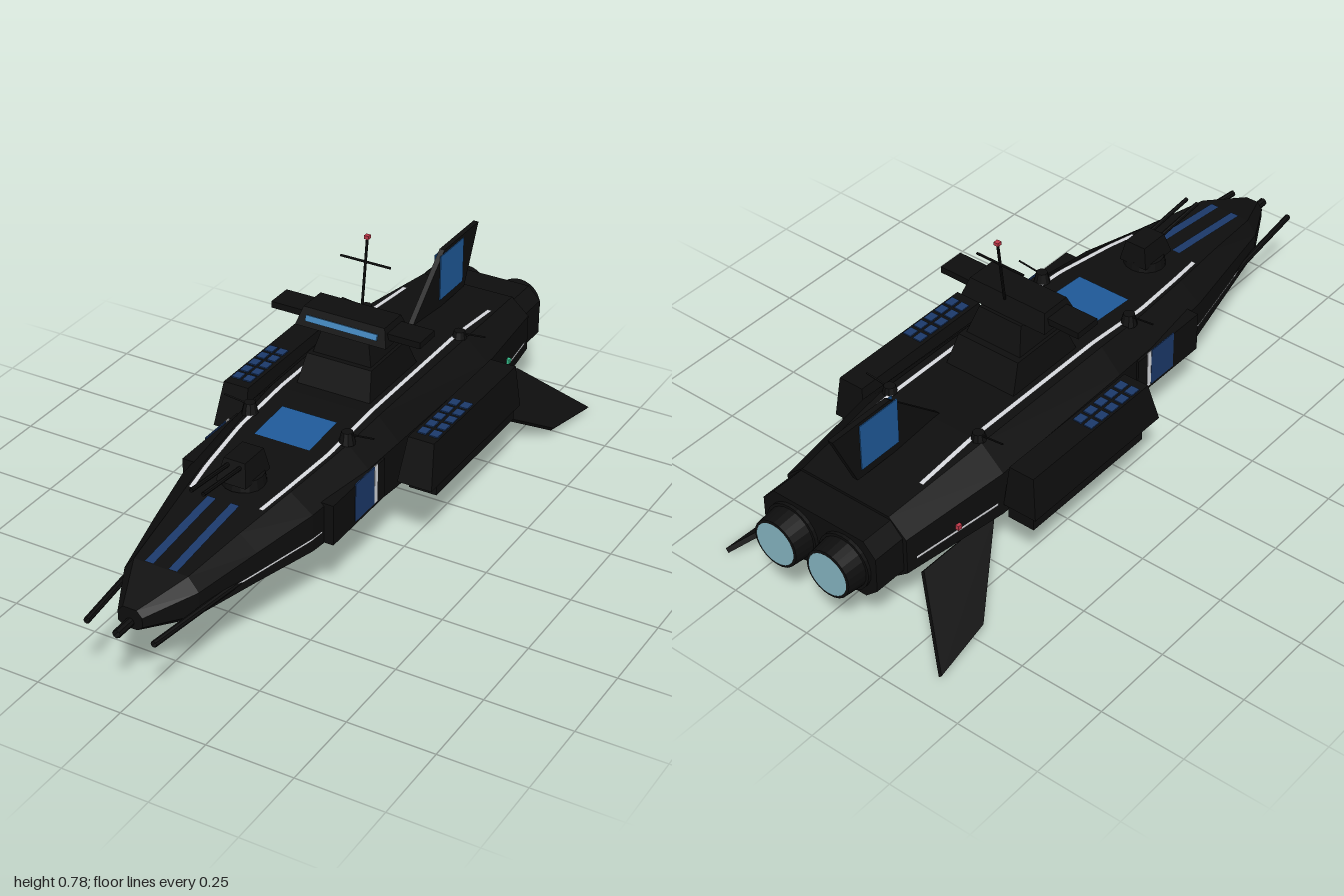
import * as THREE from 'three';
import { ConvexGeometry } from 'three/addons/geometries/ConvexGeometry.js';

const paint = (color) => new THREE.MeshStandardMaterial({ color, flatShading: true, side: THREE.DoubleSide });
const BLACK = paint(0x0e0e0e), BLUE = paint(0x1f5a9a), NAVY = paint(0x1c3a6b), WINDOW = paint(0x3f82b8);
const WHITE = paint(0xd8dade), GLOW = paint(0x86b6c2), RED = paint(0xc0394a), GREEN = paint(0x35c08c);

// Hull sections: z, half widths (deck, side, keel), heights (keel, lower, upper, deck)
const SECTIONS = [
  [0.94, 0.02, 0.036, 0.02, 0.222, 0.235, 0.262, 0.28],
  [0.8, 0.08, 0.11, 0.075, 0.187, 0.215, 0.28, 0.318],
  [0.6, 0.105, 0.155, 0.11, 0.175, 0.21, 0.297, 0.34],
  [0.4, 0.133, 0.198, 0.145, 0.165, 0.2, 0.31, 0.36],
  [0.15, 0.158, 0.22, 0.172, 0.153, 0.195, 0.32, 0.378],
  [0, 0.165, 0.228, 0.18, 0.148, 0.19, 0.325, 0.389],
  [-0.5, 0.168, 0.238, 0.18, 0.142, 0.19, 0.325, 0.389],
  [-0.83, 0.145, 0.2, 0.15, 0.16, 0.2, 0.31, 0.358],
];

// Interpolated hull section at any z
function sectionAt(z) {
  let i = 0;
  while (i < SECTIONS.length - 2 && z < SECTIONS[i + 1][0]) i++;
  const a = SECTIONS[i], b = SECTIONS[i + 1], t = (z - a[0]) / (b[0] - a[0]);
  return a.map((v, k) => v + (b[k] - v) * t);
}
const deckY = (z) => sectionAt(z)[7] + 0.003;
const sideX = (z) => sectionAt(z)[2] + 0.002;

function hullGeometry() {
  const pos = [], idx = [], n = 8;
  for (const [z, d, s, k, y0, y1, y2, y3] of SECTIONS)
    for (const [x, y] of [[d, y3], [-d, y3], [-s, y2], [-s, y1], [-k, y0], [k, y0], [s, y1], [s, y2]]) pos.push(x, y, z);
  for (let r = 0; r < SECTIONS.length - 1; r++)
    for (let j = 0; j < n; j++) {
      const a = r * n + j, b = r * n + (j + 1) % n;
      idx.push(a, b, a + n, b, b + n, a + n);
    }
  const last = (SECTIONS.length - 1) * n;
  for (let j = 1; j < n - 1; j++) idx.push(0, j, j + 1, last, last + j + 1, last + j);
  // Orient the loops so faces point outward
  for (let i = 0; i < (SECTIONS.length - 1) * n * 6; i += 3) [idx[i + 1], idx[i + 2]] = [idx[i + 2], idx[i + 1]];
  const g = new THREE.BufferGeometry();
  g.setAttribute('position', new THREE.Float32BufferAttribute(pos, 3));
  g.setIndex(idx.map((_, i) => idx[i - (i % 3) + [0, 2, 1][i % 3]]));
  const flat = g.toNonIndexed();
  flat.computeVertexNormals();
  return flat;
}

// Painted band following the hull: edges(z) gives its two edge points [x, y, x, y]
function bandGeometry(z0, z1, edges, steps = 20) {
  const pos = [], idx = [];
  for (let i = 0; i <= steps; i++) {
    const z = z0 + (z1 - z0) * i / steps, [ax, ay, bx, by] = edges(z);
    pos.push(ax, ay, z, bx, by, z);
    if (i) idx.push(2 * i - 2, 2 * i, 2 * i - 1, 2 * i - 1, 2 * i, 2 * i + 1);
  }
  const g = new THREE.BufferGeometry();
  g.setAttribute('position', new THREE.Float32BufferAttribute(pos, 3));
  g.setIndex(idx);
  g.computeVertexNormals();
  return g;
}

// Block from y0 to y1 whose bottom and top are rectangles [xMin, xMax, zMin, zMax]
function blockGeometry(y0, y1, bottom, top = bottom) {
  const g = new THREE.BoxGeometry(1, 1, 1), p = g.attributes.position;
  for (let i = 0; i < p.count; i++) {
    const up = p.getY(i) > 0, r = up ? top : bottom;
    p.setXYZ(i, r[p.getX(i) > 0 ? 1 : 0], up ? y1 : y0, r[p.getZ(i) > 0 ? 3 : 2]);
  }
  g.computeVertexNormals();
  return g;
}

// Flat plate through the corners with a thickness
function plateGeometry(corners, thickness) {
  const c = corners.map((q) => new THREE.Vector3(...q));
  const nrm = c[1].clone().sub(c[0]).cross(c[2].clone().sub(c[0])).setLength(thickness / 2);
  return new ConvexGeometry(c.flatMap((v) => [v.clone().add(nrm), v.clone().sub(nrm)]));
}

const rodGeometry = (a, b, r) =>
  new THREE.TubeGeometry(new THREE.LineCurve3(new THREE.Vector3(...a), new THREE.Vector3(...b)), 1, r, 8);

export function createModel() {
  const model = new THREE.Group();
  model.name = 'ship';
  const add = (name, geometry, material = BLACK) => {
    const m = new THREE.Mesh(geometry, material);
    m.name = name;
    model.add(m);
    return m;
  };
  const box = (name, x, y, z, w, h, d, material) => {
    const m = add(name, new THREE.BoxGeometry(w, h, d), material);
    m.position.set(x, y, z);
    return m;
  };
  const disc = (name, x, y, z, rTop, rBottom, h, sides = 16) => {
    const m = add(name, new THREE.CylinderGeometry(rTop, rBottom, h, sides));
    m.position.set(x, y, z);
    return m;
  };

  add('hull', hullGeometry());
  add('deckPanel', bandGeometry(0.08, 0.225, (z) => [-0.085, deckY(z), 0.085, deckY(z)]), BLUE);
  add('bowGun', rodGeometry([0, 0.24, 0.9], [0, 0.24, 1], 0.012));

  // Superstructure, bridge and mast
  add('lowerTower', blockGeometry(0.38, 0.47, [-0.115, 0.115, -0.31, -0.04], [-0.1, 0.1, -0.27, -0.075]));
  add('upperTower', blockGeometry(0.47, 0.545, [-0.09, 0.09, -0.25, -0.09], [-0.07, 0.07, -0.22, -0.11]));
  add('bridge', blockGeometry(0.545, 0.595, [-0.14, 0.14, -0.21, -0.08], [-0.125, 0.125, -0.19, -0.1]));
  box('bridgeWindow', 0, 0.569, -0.087, 0.22, 0.017, 0.008, WINDOW).rotation.x = -0.38;
  add('mast', rodGeometry([0, 0.59, -0.2], [0, 0.78, -0.225], 0.004));
  add('mastCrossbar', rodGeometry([-0.077, 0.71, -0.216], [0.077, 0.71, -0.216], 0.0035));
  box('mastLight', 0, 0.781, -0.225, 0.014, 0.01, 0.014, RED);

  // Tail fin
  add('tailFin', plateGeometry([[0, 0.375, -0.46], [0, 0.55, -0.66], [0, 0.55, -0.87], [0, 0.375, -0.79]], 0.016));

  // Foredeck turret
  disc('foredeckTurretBase', 0, 0.372, 0.41, 0.055, 0.06, 0.03);
  add('foredeckTurret', blockGeometry(0.38, 0.442, [-0.045, 0.045, 0.355, 0.475], [-0.032, 0.032, 0.365, 0.455]));

  // Belly turret
  add('bellyTurretBase', blockGeometry(0.122, 0.16, [-0.047, 0.047, 0, 0.11]));
  disc('bellyTurret', 0, 0.106, 0.055, 0.043, 0.038, 0.042, 12);

  // Engine block
  add('engineBlock', plateGeometry([[-0.15, 0.35, -0.85], [0.15, 0.35, -0.85], [0.188, 0.31, -0.85], [0.188, 0.205, -0.85],
    [0.15, 0.17, -0.85], [-0.15, 0.17, -0.85], [-0.188, 0.205, -0.85], [-0.188, 0.31, -0.85]], 0.16));

  for (const s of [1, -1]) {
    const span = (a, b, z0, z1) => [Math.min(s * a, s * b), Math.max(s * a, s * b), z0, z1];

    // Engines
    const nozzle = disc('engineNozzle', s * 0.088, 0.255, -0.955, 0.078, 0.07, 0.085, 24);
    nozzle.rotation.x = Math.PI / 2;
    const ring = disc('nozzleRing', s * 0.088, 0.255, -0.925, 0.083, 0.083, 0.03, 24);
    ring.rotation.x = Math.PI / 2;
    const glow = add('engineGlow', new THREE.CircleGeometry(0.063, 24), GLOW);
    glow.position.set(s * 0.088, 0.255, -0.9995);
    glow.rotation.y = Math.PI;

    // Bridge wings, lower fins and tail panels
    box('bridgeWing', s * 0.18, 0.569, -0.145, 0.1, 0.019, 0.08);
    add('lowerFin', plateGeometry([[s * 0.195, 0.16, -0.49], [s * 0.345, 0.026, -0.72],
      [s * 0.368, 0.007, -0.91], [s * 0.195, 0.16, -0.77]], 0.014));
    box('tailFinPanel', s * 0.009, 0.47, -0.705, 0.003, 0.14, 0.14, BLUE);

    // Side pods with launch cells
    add('podLower', blockGeometry(0.175, 0.225, span(0.245, 0.328, -0.49, -0.03)));
    add('podUpper', blockGeometry(0.22, 0.346, span(0.238, 0.342, -0.5, 0.025), span(0.25, 0.328, -0.49, -0.01)));
    box('podMount', s * 0.23, 0.27, -0.25, 0.04, 0.06, 0.4);
    for (let r = 0; r < 5; r++)
      for (const x of [0.274, 0.309])
        box('launchCell', s * x, 0.347, -0.228 + r * 0.043, 0.026, 0.005, 0.032, NAVY);

    // Side armour with its painted panel
    box('sideArmour', s * 0.212, 0.26, 0.215, 0.036, 0.12, 0.27);
    box('sidePanel', s * 0.23, 0.267, 0.187, 0.003, 0.115, 0.1, NAVY);
    box('sidePanelStripe', s * 0.23, 0.267, 0.128, 0.003, 0.115, 0.016, WHITE);

    // Painted stripes
    const lineX = (z) => Math.min(0.138, sectionAt(z)[1] - 0.014);
    add('deckStripe', bandGeometry(-0.7, 0.5, (z) => [s * (lineX(z) - 0.007), deckY(z), s * (lineX(z) + 0.007), deckY(z)], 40), WHITE);
    add('bowStripe', bandGeometry(0.51, 0.8, (z) => [s * 0.022, deckY(z), s * 0.048, deckY(z)]), NAVY);
    add('bowSideLine', bandGeometry(0.36, 0.78, (z) => [s * sideX(z), 0.236, s * sideX(z), 0.241]), WHITE);
    add('sternSideLine', bandGeometry(-0.8, -0.52, (z) => [s * sideX(z), 0.231, s * sideX(z), 0.239]), WHITE);
    box('navigationLight', s * 0.222, 0.25, -0.66, 0.014, 0.014, 0.014, s > 0 ? GREEN : RED);

    // Long bow guns and turret barrels
    add('longGun', rodGeometry([s * 0.148, 0.236, 0.55], [s * 0.098, 0.236, 0.985], 0.009));
    add('foredeckBarrel', rodGeometry([s * 0.018, 0.425, 0.44], [s * 0.018, 0.443, 0.63], 0.006));
    add('bellyBarrel', rodGeometry([s * 0.015, 0.104, 0.08], [s * 0.015, 0.091, 0.225], 0.004));

    // Small edge turrets
    for (const z of [0.14, -0.49]) {
      disc('edgeTurret', s * 0.15, 0.393, z, 0.016, 0.024, 0.034, 10);
      add('edgeTurretBarrel', rodGeometry([s * 0.15, 0.402, z], [s * 0.23, 0.411, z], 0.0025));
    }
  }
  return model;
}
